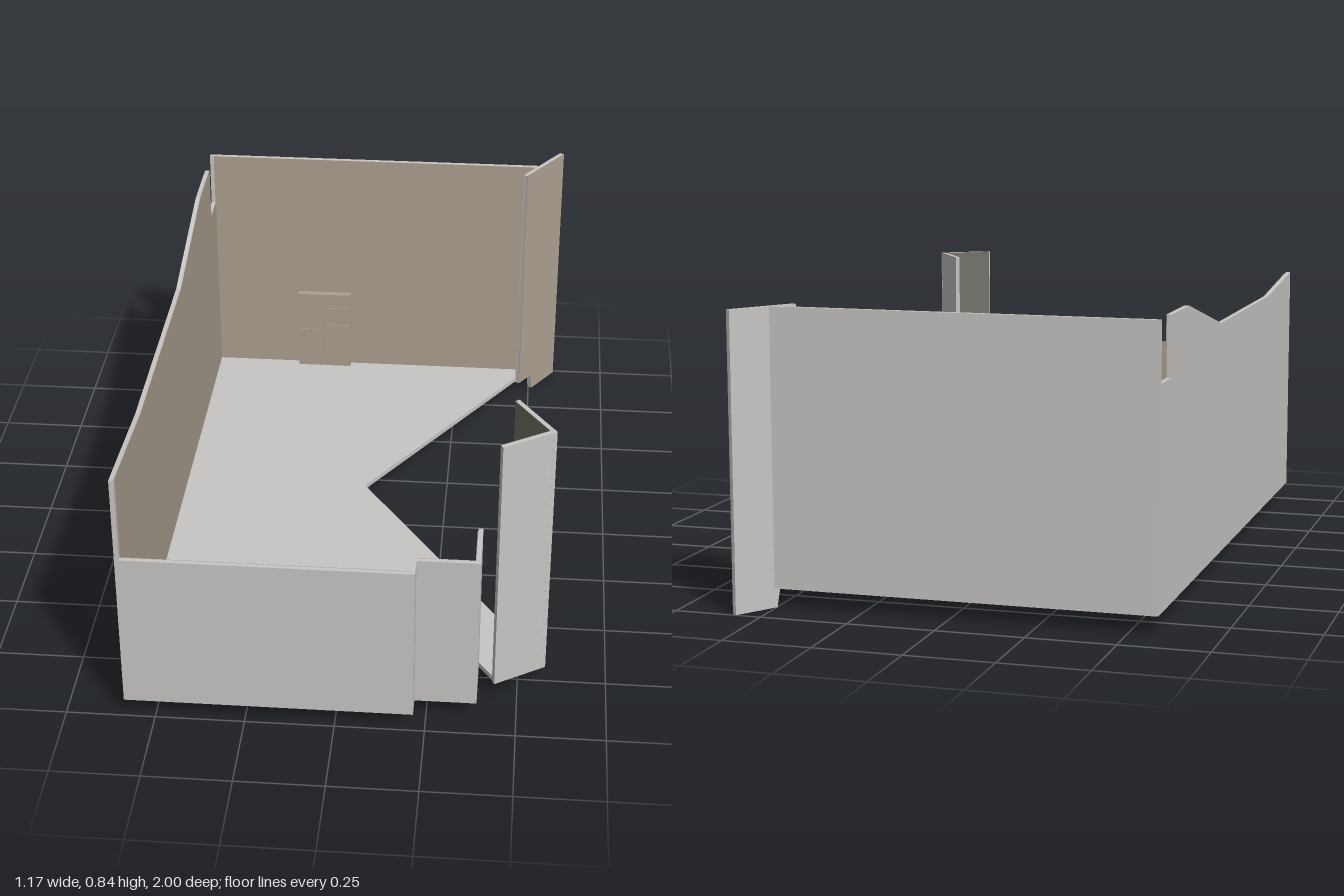
import * as THREE from 'three';

const T = 0.013;      // wall thickness
const BASE = 0.055;   // underside of floor
const FLOOR = 0.07;   // top of floor
const FULL = 0.838;   // full wall height
const LOW = 0.527;    // front wall height

const gray = new THREE.MeshStandardMaterial({ color: 0xc8c6c4 });
gray.name = 'plaster gray';
const tan = new THREE.MeshStandardMaterial({ color: 0xaca090 });
tan.name = 'interior tan';
const dark = new THREE.MeshStandardMaterial({ color: 0x74746a });
dark.name = 'dark lining';

function slab(points, depth, z, material, name) {
  const shape = new THREE.Shape(points.map(([x, y]) => new THREE.Vector2(x, y)));
  const geometry = new THREE.ExtrudeGeometry(shape, { depth, bevelEnabled: false });
  geometry.translate(0, 0, z);
  const mesh = new THREE.Mesh(geometry, material);
  mesh.name = name;
  return mesh;
}

// Wall whose outer face runs from a to b (x, z); profile is (distance, height)
function wall(name, a, b, profile, lining, inset = T) {
  const dx = b[0] - a[0], dz = b[1] - a[1], length = Math.hypot(dx, dz);
  const points = typeof profile === 'number'
    ? [[0, BASE], [length, BASE], [length, profile], [0, profile]] : profile;
  const group = new THREE.Group();
  group.name = name;
  group.add(slab(points, T, -T, gray, name + 'Shell'));
  if (lining) {
    const inner = points.map(([u, y]) => [THREE.MathUtils.clamp(u, inset, length - inset), y]);
    group.add(slab(inner, 0.002, -T - 0.002, lining, name + 'Lining'));
  }
  group.position.set(a[0], 0, a[1]);
  group.rotation.y = Math.atan2(-dz, dx);
  return group;
}

export function createModel() {
  const model = new THREE.Group();
  model.name = 'room';

  // Floor with the deep V cut
  const outline = [[-0.585, -0.893], [0.5, -0.893], [-0.005, -0.11], [0.57, 0.757],
    [0.437, 0.842], [0.388, 0.77], [0.388, 0.935], [0.217, 0.935], [0.217, 0.998], [-0.585, 0.998]];
  const floor = slab(outline.map(([x, z]) => [x, -z]).reverse(), FLOOR - BASE, 0, gray, 'floor');
  floor.rotation.x = -Math.PI / 2;
  floor.position.y = BASE;
  model.add(floor);

  // Side wall with sloped top and corner notch, given as (z, y)
  const sideTop = [[1, 0.78], [0.6, 0.74], [-0.13, 0.74], [-0.56, FULL],
    [-0.77, FULL], [-0.77, 0.67], [-0.895, 0.67]];
  const sideProfile = [[-0.895, BASE], [1, BASE], ...sideTop].map(([z, y]) => [z + 0.895, y]);
  model.add(wall('sideWall', [-0.585, -0.895], [-0.585, 1], sideProfile, tan));

  // Back wall
  model.add(wall('backWall', [0.502, -0.895], [-0.585, -0.895], FULL, tan));

  // Angled back wall reaching below the floor
  model.add(wall('angledBackWall', [0.572, -1], [0.455, -0.82],
    [[0, 0], [0.136, 0], [0.146, BASE], [0.2147, BASE], [0.2147, FULL], [0, FULL]], tan, 0));

  // Stepped low front walls
  model.add(wall('frontWall', [-0.585, 1], [0.218, 1], LOW, tan));
  model.add(wall('frontStep', [0.218, 1], [0.218, 0.924], LOW, null));
  model.add(wall('frontWallInset', [0.218, 0.937], [0.39, 0.937], LOW, tan, 0.002));
  model.add(wall('frontReturn', [0.39, 0.937], [0.39, 0.77], LOW, tan));

  // Tall corner panels
  model.add(wall('tallPanelFront', [0.436, 0.847], [0.577, 0.757], FULL, dark, 0.003));
  model.add(wall('tallPanelSide', [0.577, 0.757], [0.473, 0.6], FULL, dark, 0.003));

  // Cabinet against the back wall, with shallow raised fronts
  const box = (name, x0, x1, y0, y1, z0, z1) => {
    const mesh = new THREE.Mesh(new THREE.BoxGeometry(x1 - x0, y1 - y0, z1 - z0), tan);
    mesh.name = name;
    mesh.position.set((x0 + x1) / 2, (y0 + y1) / 2, (z0 + z1) / 2);
    model.add(mesh);
  };
  box('cabinet', -0.295, -0.117, FLOOR, 0.345, -0.881, -0.859);
  box('cabinetLowerFront', -0.293, -0.21, FLOOR, 0.21, -0.86, -0.856);
  box('cabinetDrawer', -0.205, -0.119, 0.235, 0.295, -0.86, -0.856);
  box('cabinetDoor', -0.205, -0.119, FLOOR, 0.23, -0.86, -0.856);

  return model;
}
